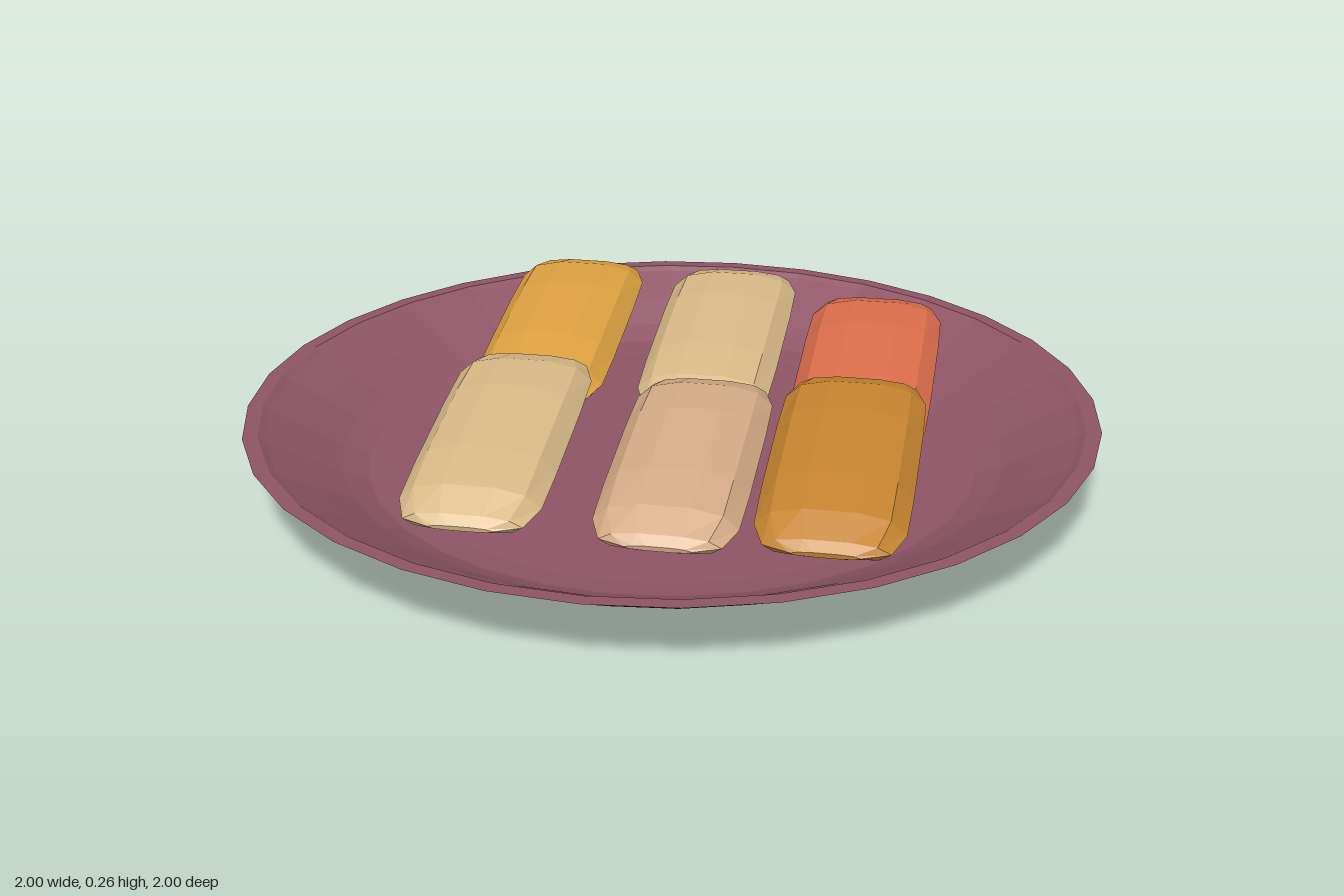
import * as THREE from 'three';

// Pillow-like slice lofted along z from faceted cross-sections
function sliceGeometry() {
  const half = [[0.06, 0.065], [0.13, 0.046], [0.166, 0.006], [0.135, -0.035], [0.06, -0.05]];
  const ring = [...half, ...half.map(([x, y]) => [-x, y]).reverse()];
  // z position, width scale, height scale
  const ends = [[0.355, 0.45, 0.1], [0.335, 0.82, 0.38], [0.265, 0.98, 0.82], [0.13, 1, 1]];
  const stations = [...ends.map(([z, w, h]) => [-z, w, h]), ...ends.slice().reverse()];
  const n = ring.length;
  const pos = [], idx = [];
  for (const [z, w, h] of stations) for (const [x, y] of ring) pos.push(x * w, y * h, z);
  for (let s = 0; s < stations.length - 1; s++) {
    for (let i = 0; i < n; i++) {
      const a = s * n + i, b = s * n + (i + 1) % n;
      idx.push(a, a + n, b, b, a + n, b + n);
    }
  }
  // end caps
  const last = (stations.length - 1) * n;
  for (let i = 1; i < n - 1; i++) {
    idx.push(0, i, i + 1);
    idx.push(last, last + i + 1, last + i);
  }
  const g = new THREE.BufferGeometry();
  g.setAttribute('position', new THREE.Float32BufferAttribute(pos, 3));
  g.setIndex(idx);
  g.computeVertexNormals();
  return g;
}

export function createModel() {
  const model = new THREE.Group();
  model.name = 'plateOfSlices';
  const material = (color) => new THREE.MeshStandardMaterial({ color, flatShading: true });

  // Shallow plate: underside, rim, then inner bowl
  const profile = [
    [0, 0], [0.55, 0], [0.68, 0.008], [0.75, 0.03], [0.86, 0.092], [0.97, 0.155], [1, 0.17],
    [0.965, 0.17], [0.95, 0.16], [0.86, 0.112], [0.78, 0.068], [0.72, 0.043], [0.65, 0.035], [0, 0.035],
  ].map(([r, y]) => new THREE.Vector2(r, y));
  const plate = new THREE.Mesh(new THREE.LatheGeometry(profile, 32), material(0x8f5566));
  plate.name = 'plate';
  model.add(plate);

  // Two rows of tilted slices, front ends lower: name, x, y, z, tilt, colour
  const slices = [
    ['backRightSlice', -0.37, 0.16, -0.445, 0.15, 0xdba040],
    ['backMiddleSlice', 0.04, 0.15, -0.465, 0.15, 0xd6b886],
    ['backLeftSlice', 0.435, 0.168, -0.275, 0.14, 0xdb6d4c],
    ['frontRightSlice', -0.37, 0.135, 0.2, 0.17, 0xd6b886],
    ['frontMiddleSlice', 0.07, 0.115, 0.205, 0.13, 0xd4aa85],
    ['frontLeftSlice', 0.435, 0.17, 0.27, 0.14, 0xc4842f],
  ];
  const geometry = sliceGeometry();
  for (const [name, x, y, z, tilt, color] of slices) {
    const slice = new THREE.Mesh(geometry, material(color));
    slice.name = name;
    slice.position.set(x, y, z);
    slice.rotation.x = tilt;
    model.add(slice);
  }
  return model;
}
